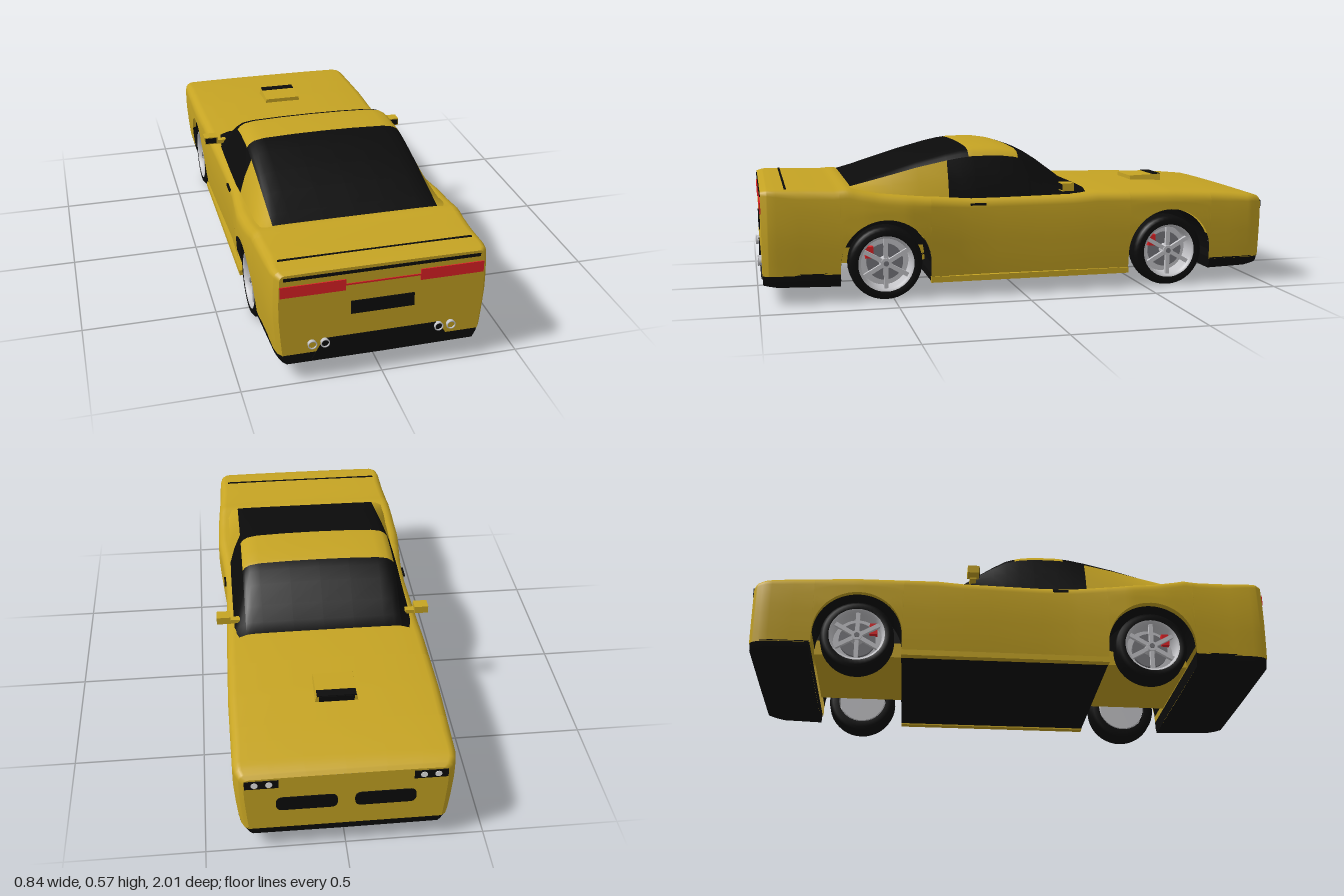
import * as THREE from 'three';

const mat = (name, color, side = THREE.FrontSide) => {
  const m = new THREE.MeshStandardMaterial({ color, side });
  m.name = name;
  return m;
};

// Linear lookup in a list of [z, value] pairs
function look(table, z) {
  if (z <= table[0][0]) return table[0][1];
  for (let i = 1; i < table.length; i++) {
    const [z0, v0] = table[i - 1], [z1, v1] = table[i];
    if (z <= z1) return v0 + (v1 - v0) * (z - z0) / (z1 - z0);
  }
  return table[table.length - 1][1];
}

// Smooth surface through rows of points
function grid(rows) {
  const n = rows[0].length, index = [];
  for (let j = 0; j < rows.length - 1; j++) for (let i = 0; i < n - 1; i++) {
    const a = j * n + i, b = a + 1, c = a + n, d = c + 1;
    index.push(a, b, d, a, d, c);
  }
  const g = new THREE.BufferGeometry();
  g.setAttribute('position', new THREE.Float32BufferAttribute(rows.flat(2), 3));
  g.setIndex(index);
  g.computeVertexNormals();
  return g;
}

// Flat end closing a symmetric section
function cap(section, dir) {
  const rows = [], n = section.length;
  for (let i = 0; i < Math.floor(n / 2); i++) {
    const pair = [section[n - 1 - i], section[i]];
    rows.push(dir > 0 ? pair : pair.reverse());
  }
  return grid(rows);
}

const mirrored = (half) => [...half, ...half.slice(0, -1).reverse().map(([x, y, z]) => [-x, y, z])];

// Body outline: half width, shoulder height, crown, shoulder radius, side curve
const WIDTH = [[-1, .355], [-.99, .37], [-.965, .383], [-.93, .39], [-.6, .393], [-.3, .388], [-.1, .383], [.1, .378],
  [.25, .383], [.45, .402], [.6, .4], [.8, .388], [.93, .384], [.965, .377], [.985, .363]];
const DECK = [[-1, .335], [-.985, .348], [-.95, .358], [-.85, .368], [-.6, .38], [-.3, .386], [-.2, .38], [.2, .377],
  [.4, .39], [.55, .405], [.63, .42], [.67, .43], [.72, .426], [.85, .43], [.96, .431], [.985, .425]];
const CROWN = [[-1, .002], [-.9, .006], [-.6, .011], [-.2, .011], [0, .002], [1, .002]];
const RADIUS = [[-1, .02], [-.9, .035], [.85, .035], [.985, .018]];
const SIDE = [[.06, .95], [.12, .97], [.18, .985], [.26, 1], [.34, 1], [.42, .985]];
const ARCH = .17, HUB_Y = .14, AXLES = [-.6, .53];

function bodySection(z, bottom) {
  const w = look(WIDTH, z), d = look(DECK, z), r = look(RADIUS, z), crown = look(CROWN, z);
  const half = [];
  for (let i = 0; i <= 6; i++) {
    const y = bottom + (d - r - bottom) * i / 6;
    half.push([w * look(SIDE, y), y, z]);
  }
  const x = half[6][0] - r;
  for (let i = 1; i <= 4; i++) {
    const a = i * Math.PI / 8;
    half.push([x + r * Math.cos(a), d - r + r * Math.sin(a), z]);
  }
  half.push([x * .75, d + crown * .55, z], [x * .4, d + crown * .9, z], [0, d + crown, z]);
  return mirrored(half);
}

// Cabin: roof line and cross-section fractions
const ROOF = [[-.26, .4], [-.2, .412], [-.15, .458], [-.08, .512], [-.03, .545], [.02, .562], [.08, .571], [.18, .571],
  [.23, .564], [.285, .552], [.4, .52], [.5, .486], [.6, .451], [.655, .432]];
const BELT = [[-.26, .375], [.25, .375], [.5, .395], [.655, .42]];
const CABIN_X = [.355, .335, .308, .298, .28, .24, .12, 0];
const CABIN_Y = [0, .42, .8, .87, .93, .97, .993, 1];

function cabinPatch(z0, z1, from, to, full) {
  const zs = [z0, ...ROOF.map((r) => r[0]).filter((z) => z > z0 && z < z1), z1];
  return zs.map((z) => {
    const b = look(BELT, z), h = look(ROOF, z) - b, half = [];
    for (let i = from; i <= to; i++) half.push([CABIN_X[i], b + h * CABIN_Y[i], z]);
    return full ? mirrored(half) : half;
  });
}

export function createModel() {
  const car = new THREE.Group();
  car.name = 'coupe';
  const paint = mat('yellowPaint', 0xc6a423, THREE.DoubleSide);
  const black = mat('blackTrim', 0x0b0b0b, THREE.DoubleSide);
  const red = mat('redLens', 0xe02226);
  const silver = mat('silverRim', 0xc4c4c8, THREE.DoubleSide);
  const grey = mat('brakeGrey', 0x77777c);
  const white = mat('lampWhite', 0xf2f2f2);

  const add = (name, geo, m, x = 0, y = 0, z = 0, parent = car) => {
    const mesh = new THREE.Mesh(geo, m);
    mesh.name = name;
    mesh.position.set(x, y, z);
    parent.add(mesh);
    return mesh;
  };
  const box = (name, m, w, h, d, x, y, z, parent) => add(name, new THREE.BoxGeometry(w, h, d), m, x, y, z, parent);

  // Body shell with wheel arches cut into its lower edge
  const stations = [];
  const run = (z0, z1, bottom) => {
    const zs = [...WIDTH, ...DECK].map((p) => p[0]).filter((z) => z > z0 + .004 && z < z1 - .004);
    for (const z of [z0, ...new Set(zs.sort((a, b) => a - b)), z1]) stations.push(bodySection(z, bottom));
  };
  const arch = (zc) => {
    for (let i = 0; i <= 24; i++) {
      const a = Math.PI * i / 24;
      stations.push(bodySection(zc - ARCH * Math.cos(a), HUB_Y + ARCH * Math.sin(a)));
    }
  };
  run(-1, AXLES[0] - ARCH, .1);
  arch(AXLES[0]);
  run(AXLES[0] + ARCH, AXLES[1] - ARCH, .08);
  arch(AXLES[1]);
  run(AXLES[1] + ARCH, .985, .11);
  add('bodyShell', grid(stations), paint);
  add('nosePanel', cap(stations[0], -1), paint);
  add('tailPanel', cap(stations[stations.length - 1], 1), paint);

  // Black lower bumpers
  const valance = (name, zs, top, dir) => {
    const rows = zs.map((z) => {
      const w = look(WIDTH, z), tuck = Math.max(0, Math.abs(z) - .9) * .15;
      return mirrored([[w * .966, top + .005, z], [w * .955, .085 + tuck, z], [w * .92, .06 + tuck, z], [0, .058 + tuck, z]]);
    });
    add(name, grid(rows), black);
    add(name + 'Front', cap(rows[0], -1), black);
    add(name + 'Back', cap(rows[rows.length - 1], 1), black);
  };
  valance('frontBumper', [-.998, -.985, -.96, -.93, -.775], .1);
  valance('rearBumper', [.7, .93, .96, .983], .11);

  // Floor, sills and inner underside
  box('floor', black, .72, .03, .79, 0, .08, -.035);
  for (const z of AXLES) box('innerUnderside', paint, .44, .06, .34, 0, .15, z);
  for (const s of [1, -1]) box('sill', paint, .03, .022, .79, s * .365, .071, -.035);

  // Cabin glass, roof and pillars
  add('windscreen', grid(cabinPatch(-.26, .005, 2, 7, true)), black);
  add('roof', grid(cabinPatch(.005, .2, 2, 7, true)), paint);
  add('rearWindow', grid(cabinPatch(.2, .655, 2, 7, true)), black);
  for (const s of [1, -1]) {
    const side = (rows) => grid(s > 0 ? rows : rows.map((r) => r.map(([x, y, z]) => [-x, y, z]).reverse()));
    add('sideWindow', side(cabinPatch(-.26, .285, 0, 2, false)), black);
    add('rearQuarter', side(cabinPatch(.285, .655, 0, 2, false)), paint);
  }

  // Bonnet scoop
  const scoop = new THREE.BoxGeometry(.16, .032, .135);
  const sp = scoop.attributes.position;
  for (let i = 0; i < sp.count; i++) if (sp.getY(i) > 0) {
    if (sp.getZ(i) > 0) sp.setY(i, .012);
    sp.setX(i, sp.getX(i) * .93);
  }
  scoop.computeVertexNormals();
  add('bonnetScoop', scoop, paint, 0, .396, -.608);
  box('scoopMouth', black, .13, .022, .006, 0, .4, -.677);
  box('scoopIntake', black, .145, .004, .035, 0, .412, -.66);

  // Nose details
  const slot = new THREE.Shape();
  slot.moveTo(-.085, -.03).lineTo(.085, -.03).quadraticCurveTo(.108, -.03, .108, 0).quadraticCurveTo(.108, .03, .085, .03)
    .lineTo(-.085, .03).quadraticCurveTo(-.108, .03, -.108, 0).quadraticCurveTo(-.108, -.03, -.085, -.03);
  const slotGeo = new THREE.ExtrudeGeometry(slot, { depth: .006, bevelEnabled: false });
  for (const s of [1, -1]) {
    add('grille', slotGeo, black, s * .138, .215, -1.003);
    box('headlampPanel', black, .118, .034, .012, s * .294, .311, -.997);
    for (const x of [.268, .318]) {
      add('headlamp', new THREE.CylinderGeometry(.012, .012, .004, 20).rotateX(Math.PI / 2), white, s * x, .311, -1.003);
    }
  }

  // Tail details
  box('tailSlot', black, .69, .011, .006, 0, .41, .985);
  box('deckLine', black, .69, .004, .008, 0, .432, .895);
  box('tailLightBar', red, .28, .006, .006, 0, .363, .985);
  box('numberPlate', black, .224, .05, .008, 0, .27, .985);
  const diffuser = new THREE.Shape();
  diffuser.moveTo(-.25, .08).lineTo(.25, .08).lineTo(.225, .125).lineTo(.205, .16)
    .lineTo(-.205, .16).lineTo(-.225, .125).closePath();
  add('diffuser', new THREE.ExtrudeGeometry(diffuser, { depth: .008, bevelEnabled: false }), black, 0, 0, .98);
  for (const s of [1, -1]) {
    box('tailLight', red, .227, .042, .008, s * .245, .363, .985);
    for (const x of [.204, .249]) {
      add('exhaustPipe', new THREE.CylinderGeometry(.015, .015, .05, 20, 1, true).rotateX(Math.PI / 2), silver, s * x, .147, .973);
      add('exhaustRim', new THREE.TorusGeometry(.0145, .0025, 8, 20), silver, s * x, .147, .9975);
      add('exhaustBore', new THREE.CircleGeometry(.014, 20), x < .23 ? black : paint, s * x, .147, .993);
    }
    // Mirrors and door handles
    box('mirror', paint, .055, .03, .045, s * .394, .415, -.165);
    box('mirrorStalk', paint, .05, .016, .025, s * .355, .402, -.165);
    box('mirrorGlass', black, .045, .022, .004, s * .395, .415, -.142);
    box('doorHandle', black, .008, .008, .06, s * .381, .355, .178);
  }

  // Wheels: local y is the axle, turned to point outward
  const tyre = new THREE.LatheGeometry([[.1, -.05], [.125, -.051], [.136, -.043], [.14, -.025], [.14, .025], [.136, .043],
    [.125, .051], [.106, .05], [.1, .044]].map(([r, y]) => new THREE.Vector2(r, y)), 40);
  const rim = new THREE.LatheGeometry([[.094, -.045], [.094, .03], [.098, .047], [.106, .051]]
    .map(([r, y]) => new THREE.Vector2(r, y)), 40);
  const makeWheel = (name, s, z) => {
    const wheel = new THREE.Group();
    wheel.name = name;
    add('tyre', tyre, black, 0, 0, 0, wheel);
    add('rim', rim, silver, 0, 0, 0, wheel);
    add('rimBack', new THREE.CylinderGeometry(.095, .095, .01, 32), silver, 0, -.03, 0, wheel);
    add('brakeDisc', new THREE.CylinderGeometry(.07, .07, .012, 32), grey, 0, -.005, 0, wheel);
    add('hub', new THREE.CylinderGeometry(.02, .024, .045, 20), silver, 0, .02, 0, wheel);
    add('hubCap', new THREE.CylinderGeometry(.01, .01, .004, 16), grey, 0, .044, 0, wheel);
    for (let i = 0; i < 6; i++) {
      const spoke = new THREE.Group();
      spoke.name = 'spoke';
      spoke.rotation.y = i * Math.PI / 3;
      box('spokeBar', silver, .082, .014, .016, .058, .031, 0, spoke);
      wheel.add(spoke);
    }
    // Brake caliper sits to the upper rear
    box('brakeCaliper', red, .045, .024, .03, s * -.04, .006, .06, wheel);
    wheel.rotation.z = -s * Math.PI / 2;
    wheel.position.set(s * .326, HUB_Y, z);
    car.add(wheel);
  };
  // Arch liners
  const liner = new THREE.CylinderGeometry(ARCH - .002, ARCH - .002, .16, 32, 1, true, 0, Math.PI).rotateZ(Math.PI / 2);
  const linerWall = new THREE.CircleGeometry(ARCH, 32, 0, Math.PI).rotateY(Math.PI / 2);
  for (const z of AXLES) for (const s of [1, -1]) {
    makeWheel(z < 0 ? 'frontWheel' : 'rearWheel', s, z);
    add('archLiner', liner, black, s * .295, HUB_Y, z);
    add('archWall', linerWall, black, s * .22, HUB_Y, z);
  }
  return car;
}
